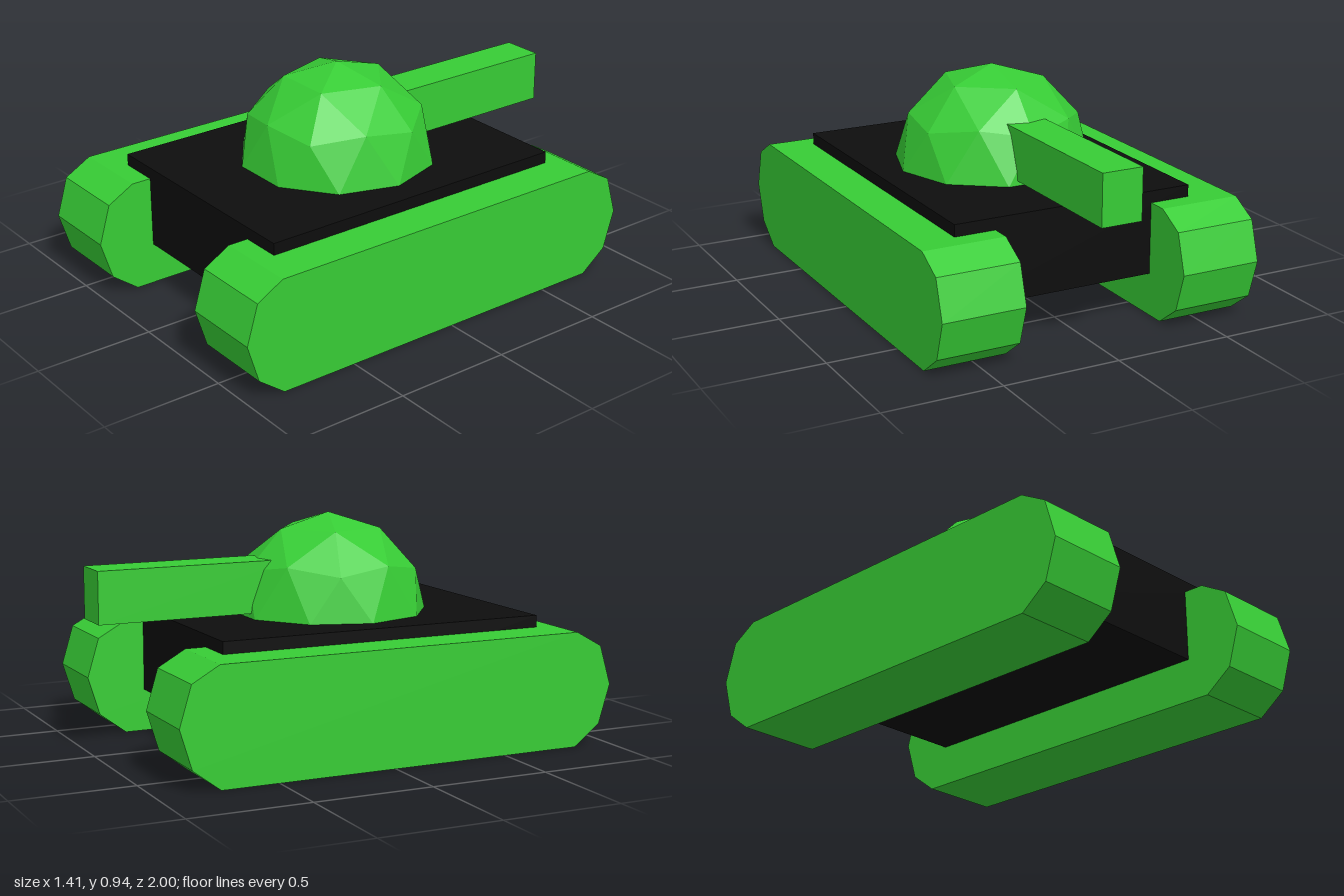
import * as THREE from 'three';
import { ConvexGeometry } from 'three/addons/geometries/ConvexGeometry.js';

const green = new THREE.MeshStandardMaterial({ name: 'green', color: 0x37cc35, flatShading: true });
const black = new THREE.MeshStandardMaterial({ name: 'black', color: 0x0d0d0d, flatShading: true });

function addMesh(group, name, geometry, material, x = 0, y = 0, z = 0) {
  const mesh = new THREE.Mesh(geometry, material);
  mesh.name = name;
  mesh.position.set(x, y, z);
  group.add(mesh);
  return mesh;
}

// Ten-sided track outline (z, y), extruded across its width
function trackGeometry(width) {
  const outline = [
    [1, 0.25], [0.95, 0.415], [0.835, 0.48], [-0.74, 0.48], [-0.855, 0.415],
    [-0.905, 0.25], [-0.855, 0.087], [-0.74, 0], [0.835, 0], [0.95, 0.087],
  ];
  const shape = new THREE.Shape(outline.map(([z, y]) => new THREE.Vector2(z, y)));
  const geometry = new THREE.ExtrudeGeometry(shape, { depth: width, bevelEnabled: false });
  return geometry.rotateY(-Math.PI / 2).translate(width / 2, 0, 0);
}

// Upper half of a faceted icosphere, one upper corner facing the gun
function domeGeometry(radius) {
  const points = [new THREE.Vector3(0, radius, 0)];
  // each ring: count, height, radius, turn away from -z in degrees
  const rings = [
    [5, 0.8507, 0.5257, 0],
    [5, 0.4472, 0.8944, 0],
    [5, 0.5257, 0.8507, 36],
    [10, 0, 1, 18],
  ];
  for (const [count, height, r, turn] of rings) {
    for (let i = 0; i < count; i++) {
      const a = THREE.MathUtils.degToRad(turn + (i * 360) / count);
      points.push(new THREE.Vector3(r * Math.sin(a), height, -r * Math.cos(a)).multiplyScalar(radius));
    }
  }
  return new ConvexGeometry(points);
}

export function createModel() {
  const model = new THREE.Group();
  model.name = 'tank';

  // Hull, its sides sunk into the tracks
  addMesh(model, 'hull', new THREE.BoxGeometry(1.056, 0.352, 1.405), black, 0, 0.354, 0.047);

  // Tracks
  const track = trackGeometry(0.352);
  addMesh(model, 'leftTrack', track, green, 0.528);
  addMesh(model, 'rightTrack', track, green, -0.528);

  // Turret and gun, the gun reaching out over the back
  addMesh(model, 'turret', domeGeometry(0.415), green, 0, 0.528, 0.047);
  addMesh(model, 'gun', new THREE.BoxGeometry(0.176, 0.215, 0.85), green, 0, 0.657, -0.575);

  return model;
}
